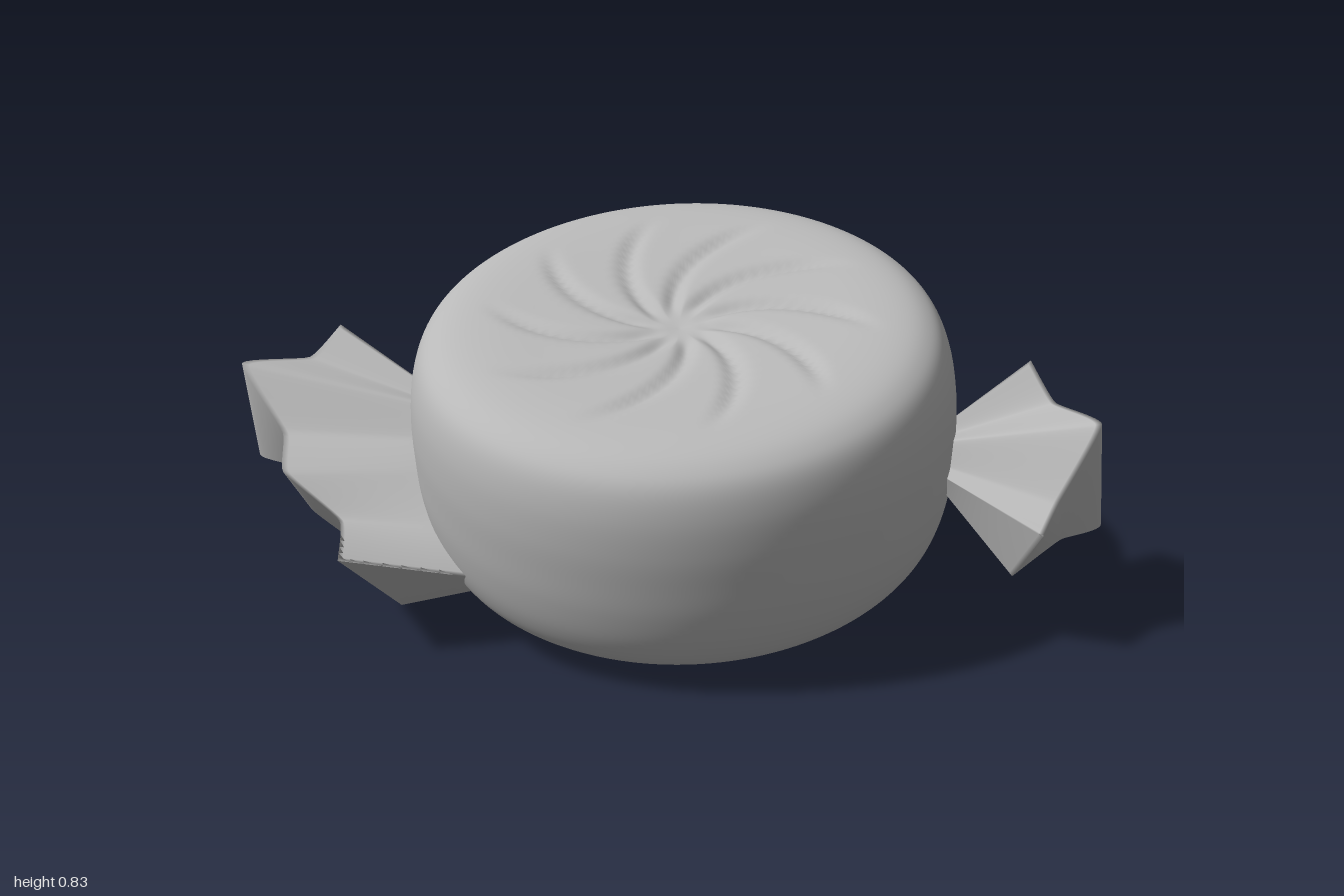
import * as THREE from 'three';
import { mergeVertices } from 'three/addons/utils/BufferGeometryUtils.js';

const V = (a) => new THREE.Vector3(...a);

// Round sweet with swirling grooves pressed into both faces
function bodyGeometry() {
  const half = [[0, 0.247], [0.05, 0.253], [0.12, 0.266], [0.3, 0.276], [0.42, 0.281], [0.5, 0.275],
    [0.55, 0.256], [0.583, 0.222], [0.605, 0.16], [0.616, 0.08]];
  const side = half.map(([r, y]) => new THREE.Vector2(r, y));
  const lower = half.map(([r, y]) => new THREE.Vector2(r, -y));
  const profile = new THREE.SplineCurve([...lower, new THREE.Vector2(0.618, 0), ...side.reverse()]).getPoints(130);
  profile.forEach((p) => { p.x = Math.max(p.x, 0); });
  profile[0].x = profile[profile.length - 1].x = 0;
  let geo = new THREE.LatheGeometry(profile, 200);
  geo.deleteAttribute('uv');
  geo.deleteAttribute('normal');
  geo = mergeVertices(geo, 1e-5);

  const pos = geo.attributes.position;
  const step = (Math.PI * 2) / 10;
  for (let i = 0; i < pos.count; i++) {
    const x = pos.getX(i), y = pos.getY(i), z = pos.getZ(i);
    const r = Math.hypot(x, z);
    if (r > 0.48 || Math.abs(y) < 0.2) continue;
    const a = Math.atan2(z, x) - 1.9 * r + 0.2;
    const d = (a - Math.round(a / step) * step) * r;
    const fade = THREE.MathUtils.smoothstep(r, 0.03, 0.12) * (1 - THREE.MathUtils.smoothstep(r, 0.32, 0.46));
    const depth = 0.016 * fade * Math.exp(-((d / 0.018) ** 2));
    pos.setY(i, y - Math.sign(y) * depth);
  }
  geo.computeVertexNormals();
  return geo;
}

// Pleated wrapper end: each fold has an upper and a lower rim point, and a
// centre near the sweet where it gathers.
function fanGeometry(folds, flip) {
  const M = 48, gather = 0.3;
  const rimU = [], rimL = [], baseU = [], baseL = [];
  folds.forEach(([u, l, c]) => {
    const U = V(u), L = V(l), C = V(c);
    rimU.push(U);
    rimL.push(L);
    [[U, baseU], [L, baseL]].forEach(([p, out]) => out.push(
      new THREE.Vector3(C.x, C.y + (p.y - C.y) * gather, C.z + (p.z - C.z) * gather)));
  });
  const sample = (pts) => {
    const c = new THREE.CatmullRomCurve3(pts, false, 'catmullrom', 0.22);
    return Array.from({ length: M + 1 }, (_, i) => c.getPoint(i / M));
  };
  const ring = (u, l) => [...sample(u), ...sample(l).reverse()];
  const base = ring(baseU, baseL), rim = ring(rimU, rimL);
  const rows = [0, 0.1, 0.2, 0.35, 0.5, 0.65, 0.8, 0.9, 0.96, 1];
  const n = rim.length, verts = [], index = [];
  const tri = (a, b, c) => (flip ? index.push(a, c, b) : index.push(a, b, c));
  rows.forEach((t) => base.forEach((b, j) => {
    verts.push(...b.clone().lerp(rim[j], t).toArray());
  }));
  for (let i = 0; i < rows.length - 1; i++) {
    for (let j = 0; j < n; j++) {
      const a = i * n + j, b = i * n + (j + 1) % n;
      tri(a, b, a + n);
      tri(b, b + n, a + n);
    }
  }
  // Closed outer end
  const last = (rows.length - 1) * n;
  for (let j = 0; j < M; j++) {
    const u0 = last + j, u1 = u0 + 1, l0 = last + n - 1 - j, l1 = l0 - 1;
    tri(u0, u1, l0);
    tri(u1, l1, l0);
  }
  const geo = new THREE.BufferGeometry();
  geo.setAttribute('position', new THREE.Float32BufferAttribute(verts, 3));
  geo.setIndex(index);
  geo.computeVertexNormals();
  return geo;
}

export function createModel() {
  const grey = new THREE.MeshStandardMaterial({ color: 0xb8b8b8 });
  grey.name = 'plain grey';
  const model = new THREE.Group();
  model.name = 'wrappedSweet';
  const add = (name, geo) => {
    const mesh = new THREE.Mesh(geo, grey);
    mesh.name = name;
    model.add(mesh);
    return mesh;
  };

  const body = add('sweetBody', bodyGeometry());
  body.position.set(0.037, 0.443, 0);
  body.rotation.x = THREE.MathUtils.degToRad(14.8);

  // Small wrapper end
  const cL = [0.63, 0.41, 0.02];
  add('leftWrapperEnd', fanGeometry([
    [[0.81, 0.6, -0.1], [0.86, 0.44, -0.215], cL],
    [[0.87, 0.525, -0.04], [0.88, 0.42, -0.115], cL],
    [[0.97, 0.535, 0.11], [0.99, 0.24, -0.04], cL],
    [[0.89, 0.37, 0.17], [0.9, 0.25, 0.09], cL],
    [[0.86, 0.32, 0.245], [0.8, 0.18, 0.15], cL],
  ], false));

  // Large wrapper end, with an extra fold tucked under the front of the sweet
  const cR = [-0.55, 0.41, 0.02];
  add('rightWrapperEnd', fanGeometry([
    [[-0.81, 0.59, -0.1], [-0.87, 0.45, -0.18], cR],
    [[-0.87, 0.525, -0.04], [-0.88, 0.4, -0.1], cR],
    [[-1, 0.535, 0.06], [-1, 0.28, -0.01], cR],
    [[-0.88, 0.4, 0.14], [-0.87, 0.27, 0.04], [-0.55, 0.38, 0.06]],
    [[-0.83, 0.36, 0.28], [-0.84, 0.19, 0.09], [-0.53, 0.33, 0.12]],
    [[-0.69, 0.27, 0.32], [-0.68, 0.1, 0.13], [-0.47, 0.25, 0.26]],
    [[-0.63, 0.26, 0.51], [-0.6, 0.003, 0.18], [-0.38, 0.16, 0.34]],
  ], true));

  return model;
}
